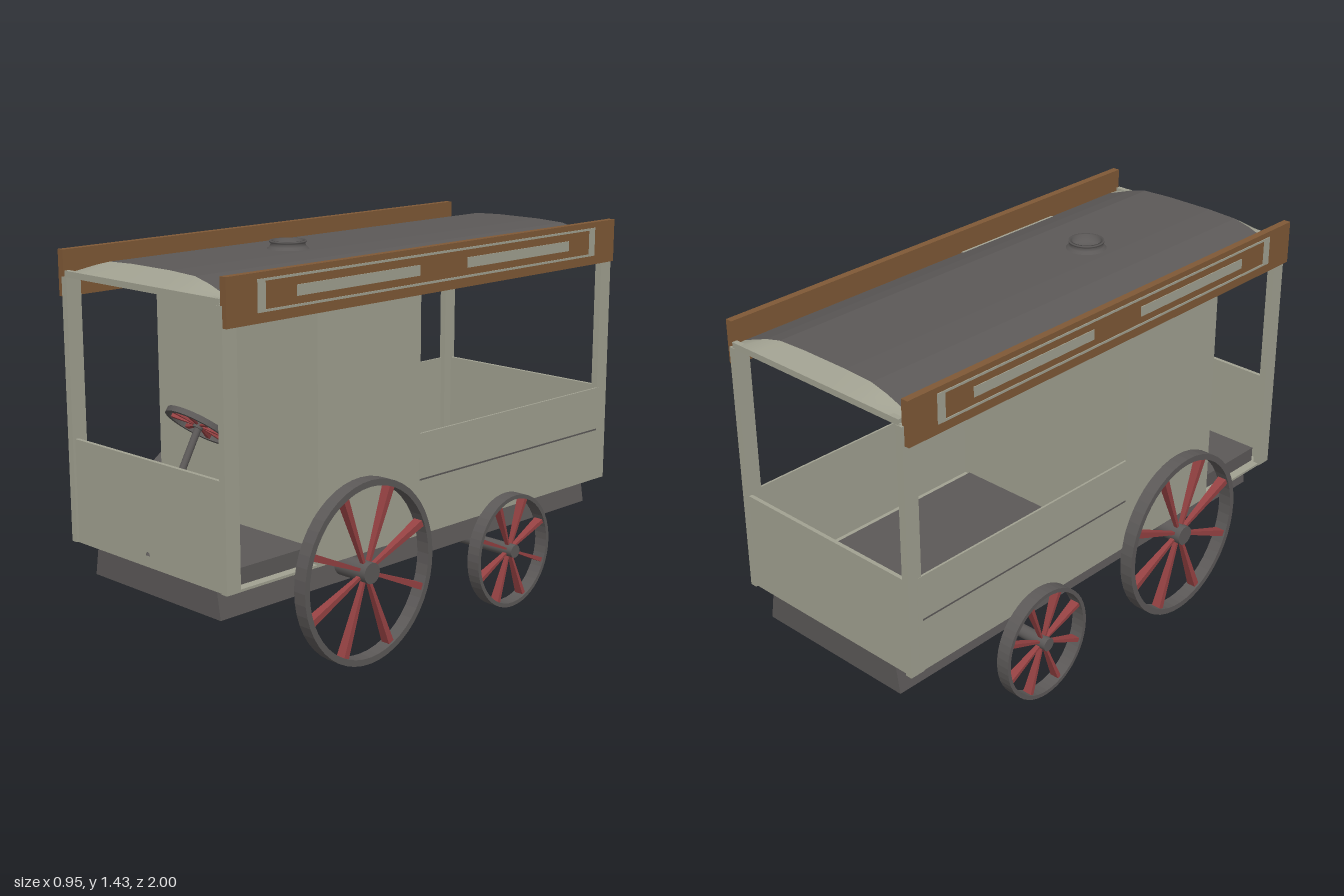
import * as THREE from 'three';

const mat = (name, color, side = THREE.FrontSide) => {
  const m = new THREE.MeshStandardMaterial({ color, side });
  m.name = name;
  return m;
};

export function createModel() {
  const cream = mat('stone paint', 0xa1a191, THREE.DoubleSide);
  const grey = mat('dark grey', 0x5c5958);
  const wood = mat('brown wood', 0x7f5936);
  const red = mat('spoke red', 0x964243);
  const model = new THREE.Group();

  const add = (name, geo, material, parent = model) => {
    const m = new THREE.Mesh(geo, material);
    m.name = name;
    parent.add(m);
    return m;
  };
  // Box given by its minimum and maximum on each axis
  const box = (name, material, x0, x1, y0, y1, z0, z1) => {
    const m = add(name, new THREE.BoxGeometry(x1 - x0, y1 - y0, z1 - z0), material);
    m.position.set((x0 + x1) / 2, (y0 + y1) / 2, (z0 + z1) / 2);
    return m;
  };
  // Same box on both sides of the body
  const pair = (name, material, x0, x1, ...rest) => {
    box(name, material, x0, x1, ...rest);
    box(name, material, -x1, -x0, ...rest);
  };
  // Shape in x and y, extruded along z from z0 to z1
  const prism = (name, material, points, z0, z1) => {
    const shape = new THREE.Shape(points.map(p => new THREE.Vector2(...p)));
    const geo = new THREE.ExtrudeGeometry(shape, { depth: z1 - z0, bevelEnabled: false });
    return add(name, geo.translate(0, 0, z0), material);
  };

  // Chassis and floors
  prism('chassis', grey, [[-0.335, 0.28], [0.335, 0.28], [0.315, 0.4], [-0.315, 0.4]], -0.98, 0.96);
  box('basePlate', cream, -0.41, 0.41, 0.393, 0.402, -0.99, 0.99);
  box('rearFloor', grey, -0.385, 0.385, 0.402, 0.408, -0.98, 0.09);
  box('cabFloor', grey, -0.375, 0.375, 0.402, 0.46, 0.59, 0.945);

  // Body walls
  box('middleCabinet', cream, -0.415, 0.415, 0.4, 1.35, 0.09, 0.59);
  pair('sideWall', cream, 0.408, 0.416, 0.4, 0.77, -0.96, 0.09);
  pair('sideSeam', grey, 0.415, 0.4175, 0.598, 0.604, -0.94, 0.09);
  box('frontPanel', cream, -0.395, 0.395, 0.4, 0.77, 0.975, 0.99);
  box('rearPanel', cream, -0.4, 0.4, 0.4, 0.77, -0.995, -0.98);
  pair('frontPost', cream, 0.388, 0.415, 0.395, 1.34, 0.94, 1);
  pair('rearPost', cream, 0.388, 0.415, 0.395, 1.34, -1, -0.94);

  // Arched roof shell
  const arch = [[-0.41, 1.345], [-0.36, 1.363], [-0.29, 1.388], [-0.22, 1.405], [-0.1, 1.41],
    [0.1, 1.41], [0.22, 1.405], [0.29, 1.388], [0.36, 1.363], [0.41, 1.345]];
  const under = arch.map(([x, y]) => [x, y - 0.012]).reverse();
  prism('roof', grey, [...arch, ...under], -0.94, 0.94);

  // Sloping hood and rail at each end of the roof
  for (const turn of [0, Math.PI]) {
    const end = new THREE.Group();
    end.name = turn ? 'rearRoofEnd' : 'frontRoofEnd';
    end.rotation.y = turn;
    model.add(end);
    const pos = [], idx = [];
    arch.forEach(([x, y], i) => {
      pos.push(x, y, 0.94, x * 0.98, Math.min(y, 1.362), 0.998);
      if (i) idx.push(2 * i - 2, 2 * i - 1, 2 * i, 2 * i - 1, 2 * i + 1, 2 * i);
    });
    const geo = new THREE.BufferGeometry();
    geo.setAttribute('position', new THREE.Float32BufferAttribute(pos, 3));
    geo.setIndex(idx);
    geo.computeVertexNormals();
    add('hood', geo, cream, end);
    add('rail', new THREE.BoxGeometry(0.8, 0.022, 0.02), cream, end).position.set(0, 1.35, 0.988);
  }

  // Roof vent
  const vent = [[0.08, 0], [0.065, 0.014], [0.06, 0.024], [0.066, 0.028], [0.066, 0.034],
    [0.055, 0.034], [0.053, 0.006], [0, 0.006]].map(p => new THREE.Vector2(...p));
  add('roofVent', new THREE.LatheGeometry(vent, 32), grey).position.set(0, 1.405, 0.33);

  // Side boards with light painted frame and bars
  pair('signBoard', wood, 0.406, 0.434, 1.27, 1.432, -0.99, 0.998);
  const plate = (name, y0, y1, z0, z1) => pair(name, cream, 0.433, 0.437, y0, y1, z0, z1);
  plate('frameTop', 1.403, 1.411, -0.865, 0.868);
  plate('frameBottom', 1.304, 1.312, -0.865, 0.868);
  plate('frameEnd', 1.304, 1.411, 0.835, 0.868);
  plate('frameEnd', 1.304, 1.411, -0.865, -0.832);
  plate('frontBar', 1.338, 1.375, 0.12, 0.698);
  plate('rearBar', 1.338, 1.375, -0.705, -0.128);

  // Spoked wheel lying around the y axis
  const makeWheel = (name, radius, rim, width, hub, spokeWide) => {
    const g = new THREE.Group();
    g.name = name;
    model.add(g);
    const shape = new THREE.Shape().absarc(0, 0, radius, 0, Math.PI * 2);
    shape.holes.push(new THREE.Path().absarc(0, 0, radius - rim, 0, Math.PI * 2, true));
    const ring = new THREE.ExtrudeGeometry(shape, { depth: width, bevelEnabled: false, curveSegments: 24 });
    add('rim', ring.translate(0, 0, -width / 2).rotateX(Math.PI / 2), grey, g);
    add('hub', new THREE.CylinderGeometry(hub, hub, width * 1.15, 20), grey, g);
    const length = radius - rim - hub + 0.006;
    for (let i = 0; i < 8; i++) {
      // Square tapered spoke, wider at the rim
      const s = new THREE.CylinderGeometry(spokeWide, spokeWide * 0.45, length, 4, 1).toNonIndexed();
      s.rotateY(Math.PI / 4).scale(1, 1, width * 0.5 / spokeWide);
      s.computeVertexNormals();
      s.translate(0, hub + length / 2, 0).rotateX(Math.PI / 2).rotateY((i + 0.5) * Math.PI / 4);
      add('spoke', s, red, g);
    }
    return g;
  };

  // Road wheels and axles
  for (const [name, r, y, z, hub] of [['front', 0.333, 0.338, 0.39, 0.038], ['rear', 0.219, 0.236, -0.385, 0.025]]) {
    for (const side of [-1, 1]) {
      const w = makeWheel(name + 'Wheel', r, r * 0.07, 0.053, hub, r * 0.055);
      w.rotation.z = Math.PI / 2;
      w.position.set(side * 0.441, y, z);
      w.scale.z = 0.945;
    }
    const axle = add(name + 'Axle', new THREE.CylinderGeometry(hub, hub, 0.946, 20), grey);
    axle.rotation.z = Math.PI / 2;
    axle.position.set(0, y, z);
  }

  // Steering wheel and column
  const steer = makeWheel('steeringWheel', 0.123, 0.016, 0.02, 0.018, 0.012);
  steer.position.set(0, 0.845, 0.755);
  steer.rotation.x = -0.66;
  const from = new THREE.Vector3(0, 0.43, 0.985), to = new THREE.Vector3(0, 0.85, 0.75);
  const column = new THREE.LineCurve3(from, to);
  add('steeringColumn', new THREE.TubeGeometry(column, 1, 0.013, 12), grey);

  return model;
}
